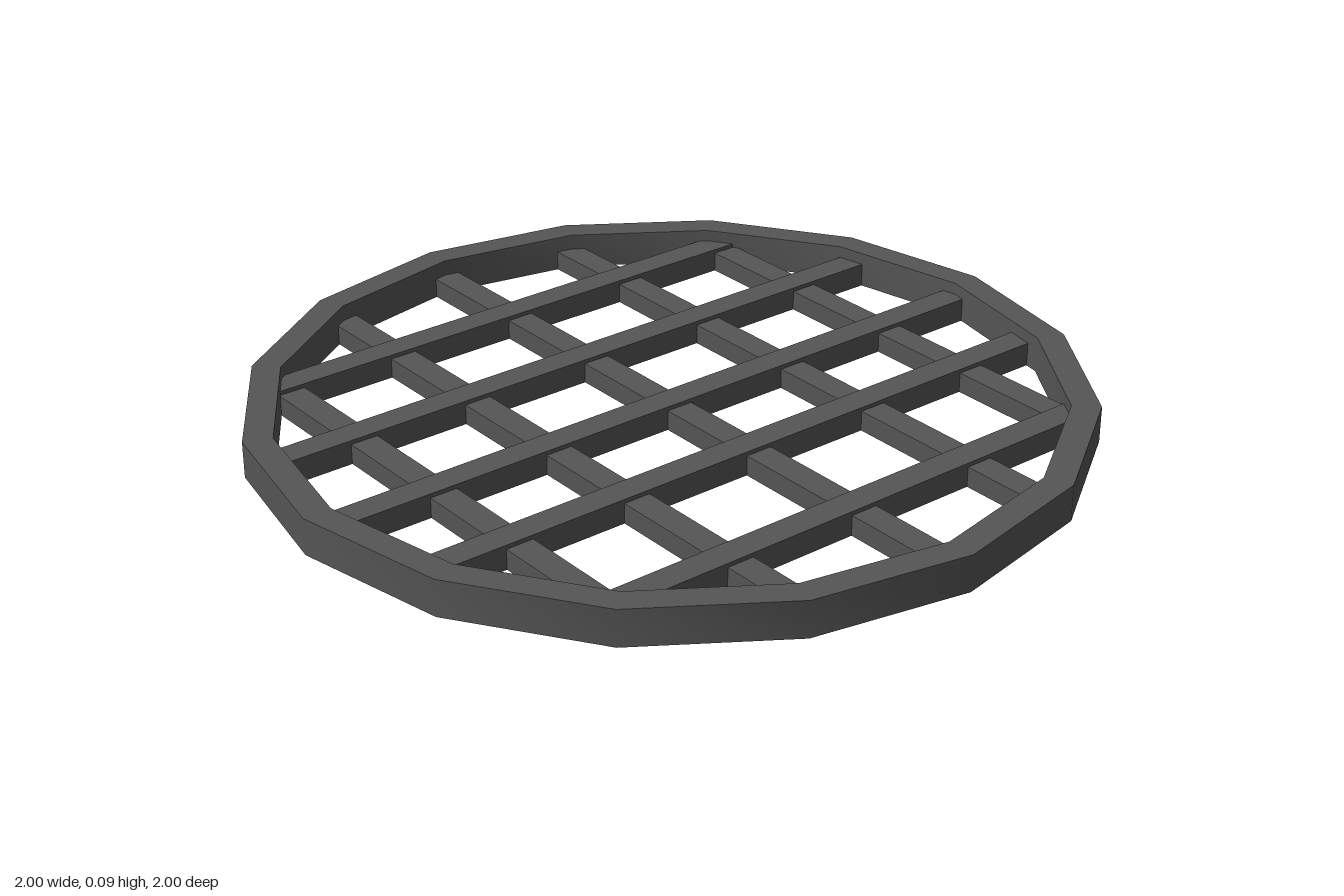
import * as THREE from 'three';
import { toCreasedNormals } from 'three/addons/utils/BufferGeometryUtils.js';

const BAR = 0.07; // bar width

export function createModel() {
  const model = new THREE.Group();
  model.name = 'roundGrate';
  const material = new THREE.MeshStandardMaterial({ color: 0x555555 });

  // Sixteen-sided rim with a rectangular section
  const section = [[0.93, 0], [1, 0], [1, 0.09], [0.93, 0.09], [0.93, 0]]
    .map(([r, y]) => new THREE.Vector2(r, y));
  const rim = new THREE.Mesh(toCreasedNormals(new THREE.LatheGeometry(section, 16), 0.6), material);
  rim.name = 'rim';
  model.add(rim);

  // Each bar: [offset from the centre, half length], ends buried in the rim
  const addBars = (name, height, bars, place) => {
    const group = new THREE.Group();
    group.name = name;
    for (const [offset, half] of bars) {
      const [width, depth, x, z] = place(offset, half * 2);
      const bar = new THREE.Mesh(new THREE.BoxGeometry(width, height, depth), material);
      bar.name = 'bar';
      bar.position.set(x, height / 2, z);
      group.add(bar);
    }
    model.add(group);
  };

  // Lower bars running side to side
  addBars('crossBars', 0.05,
    [[-0.67, 0.68], [-0.35, 0.89], [0, 0.96], [0.35, 0.89], [0.665, 0.68]],
    (offset, length) => [length, BAR, 0, offset]);

  // Taller bars running front to back
  addBars('lengthBars', 0.06,
    [[-0.635, 0.7], [-0.32, 0.9], [0, 0.96], [0.285, 0.91], [0.635, 0.7]],
    (offset, length) => [BAR, length, offset, 0]);

  return model;
}
